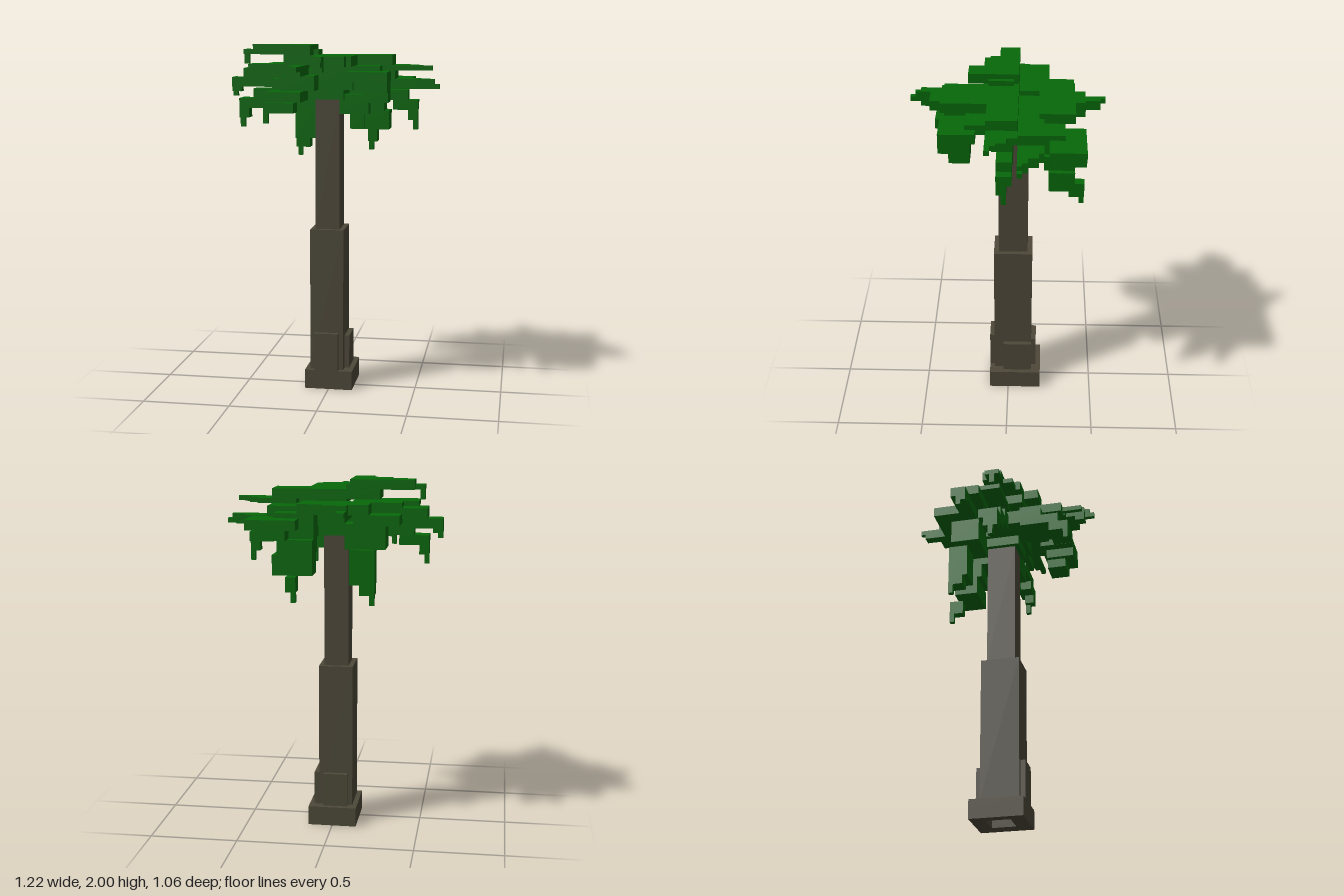
import * as THREE from 'three';

// All boxes are given on a block grid, 72 blocks tall: [x0, x1, y0, y1, z0, z1]
const V = 1 / 36;

const TRUNK = {
  upperTrunk: [[-3, 2, 34, 61, -4, 2]],
  lowerTrunk: [[-4, 3, 4, 34, -5, 3]],
  // base is a frame around a shallow recess in the underside
  base: [
    [-5, 5, 2, 4, -7, 4],
    [-5, -3, 0, 2, -7, 4], [2, 5, 0, 2, -7, 4],
    [-3, 2, 0, 2, -7, -4], [-3, 2, 0, 2, 1, 4],
  ],
  frontBarkPlate: [[-3, 2, 4, 12, 3, 4]],
  rightBarkPlate: [[3, 4, 4, 11, -5, 1]],
  backBarkPlate: [[-3, 2, 4, 11, -6, -5]],
};

const FRONDS = {
  crownCore: [[-5, 5, 63, 67, -6, 4], [-4, 3, 61, 63, -5, 3]],
  topFrond: [
    [-16, -3, 70, 72, -2, 2], [-14, -2, 70, 71, -1, 4], [-11, -3, 70, 72, 2, 5],
    [-7, -3, 70, 72, 5, 8], [-18, -16, 70, 71, -1, 2], [-18, -17, 68, 70, 0, 1],
    [-9, 0, 68, 70, -2, 5], [-17, -5, 67, 68, -4, 2],
  ],
  frontFrond: [
    [-2, 6, 67, 70, 0, 8], [-2, 6, 68, 70, 8, 13], [-1, 5, 68, 70, 13, 15],
    [-1, 1, 67, 70, 15, 17], [0, 1, 69, 70, 17, 18], [0, 1, 68, 69, 17, 19],
  ],
  frontSideFrond: [[-7, -4, 66, 68, 4, 13], [-5, -4, 67, 68, 13, 17]],
  frontLeftDroop: [
    [-9, -2, 63, 66, 0, 9], [-11, -4, 61, 63, 5, 13],
    [-11, -5, 59, 61, 11, 15], [-11, -10, 57, 59, 14, 15],
  ],
  frontRightFrond: [
    [3, 11, 66, 68, 1, 8], [5, 13, 65, 67, 6, 13], [7, 13, 63, 65, 7, 13],
    [8, 13, 61, 63, 7, 11],
  ],
  frontRightDroop: [[2, 8, 58, 62, -1, 2], [4, 7, 55, 58, 0, 1]],
  rightUpperFrond: [
    [0, 13, 68, 70, -2, 4], [8, 16, 67, 68, -2, 4], [13, 18, 67, 68, 0, 4],
    [18, 19, 67, 68, 2, 4], [19, 21, 67, 68, 3, 4],
  ],
  rightDroop: [
    [3, 12, 63, 65, -1, 3], [8, 16, 61, 63, -1, 2],
    [13, 18, 59, 61, -1, 2], [16, 18, 57, 59, 0, 2], [17, 18, 55, 57, 0, 1],
  ],
  rightBackFrond: [
    [4, 13, 65, 67, -7, -1], [10, 16, 63, 65, -7, -2], [16, 18, 63, 65, -6, -2],
    [18, 20, 63, 65, -4, -2], [20, 21, 63, 65, -3, -2], [21, 22, 63, 64, -3, -2],
  ],
  backRightFrond: [
    [3, 11, 64, 66, -11, -4], [6, 16, 63, 65, -15, -8], [8, 14, 61, 63, -15, -9],
  ],
  backRightDroop: [
    [3, 9, 61, 64, -11, -5], [3, 10, 58, 61, -13, -7],
    [3, 11, 54, 58, -13, -8], [6, 8, 51, 54, -15, -12], [6, 7, 49, 51, -15, -14],
  ],
  backFrond: [
    [-8, 6, 66, 68, -13, -6], [-4, 1, 65, 68, -15, -6],
    [-4, -2, 65, 67, -18, -15], [-4, -3, 66, 67, -19, -18],
  ],
  backLeftDroop: [
    [-14, -5, 64, 66, -13, -5], [-11, -3, 59, 64, -10, -4],
    [-9, -4, 52, 59, -11, -7], [-9, -6, 50, 52, -11, -8], [-9, -8, 48, 50, -11, -10],
  ],
  leftFrond: [
    [-14, -4, 66, 68, -8, -2], [-19, -10, 65, 67, -8, -2], [-22, -13, 63, 65, -7, -4],
    [-22, -20, 62, 63, -6, -4], [-22, -21, 61, 62, -6, -5],
  ],
  leftDroop: [
    [-12, -3, 63, 65, -3, 2], [-16, -9, 61, 63, -2, 2], [-19, -13, 59, 61, -2, 2],
    [-19, -17, 57, 59, -1, 2], [-19, -18, 55, 57, 0, 1],
  ],
};

function blocks(name, boxes, material) {
  const group = new THREE.Group();
  group.name = name;
  for (const [x0, x1, y0, y1, z0, z1] of boxes) {
    const geo = new THREE.BoxGeometry((x1 - x0) * V, (y1 - y0) * V, (z1 - z0) * V);
    const mesh = new THREE.Mesh(geo, material);
    mesh.name = name + 'Block';
    mesh.position.set((x0 + x1) / 2, (y0 + y1) / 2, (z0 + z1) / 2).multiplyScalar(V);
    group.add(mesh);
  }
  return group;
}

export function createModel() {
  const bark = new THREE.MeshStandardMaterial({ color: 0x4d4839 });
  bark.name = 'bark';
  const leaf = new THREE.MeshStandardMaterial({ color: 0x06680a });
  leaf.name = 'leaf';

  const tree = new THREE.Group();
  tree.name = 'palmTree';
  for (const [name, boxes] of Object.entries(TRUNK)) tree.add(blocks(name, boxes, bark));
  for (const [name, boxes] of Object.entries(FRONDS)) tree.add(blocks(name, boxes, leaf));
  return tree;
}
